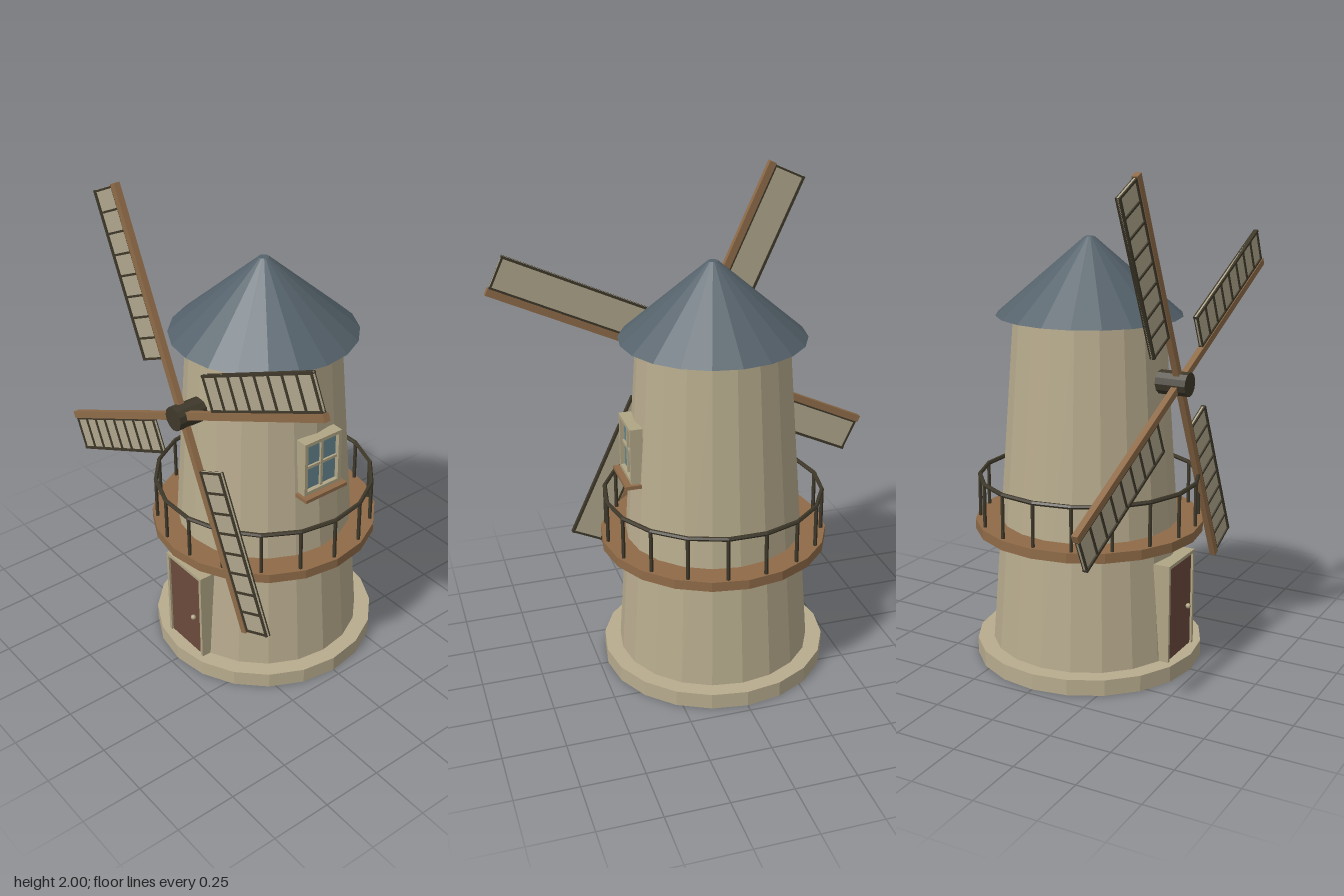
import * as THREE from 'three';

const mat = (name, color, flatShading = false) => {
  const m = new THREE.MeshStandardMaterial({ color });
  m.name = name;
  m.flatShading = flatShading;
  return m;
};

export function createModel() {
  const stone = mat('stone', 0xb8ac8e, true);
  const slate = mat('slate', 0x55626b, true);
  const wood = mat('wood', 0x8f6b48, true);
  const darkWood = mat('darkWood', 0x3e382a, true);
  const doorRed = mat('doorBrown', 0x6b4a3c);
  const glass = mat('glass', 0x64868f);
  const trim = mat('trim', 0xb0a585);
  const canvas = mat('canvas', 0xb0a78c);

  const model = new THREE.Group();
  model.name = 'windmill';

  const add = (parent, name, geometry, material, x = 0, y = 0, z = 0) => {
    const m = new THREE.Mesh(geometry, material);
    m.name = name;
    m.position.set(x, y, z);
    parent.add(m);
    return m;
  };
  // Box given by its minimum and maximum along each axis
  const box = (parent, name, material, [x0, x1], [y0, y1], [z0, z1]) =>
    add(parent, name, new THREE.BoxGeometry(x1 - x0, y1 - y0, z1 - z0), material,
      (x0 + x1) / 2, (y0 + y1) / 2, (z0 + z1) / 2);
  // Upright round part between two heights
  const round = (name, material, rTop, rBottom, y0, y1) =>
    add(model, name, new THREE.CylinderGeometry(rTop, rBottom, y1 - y0, 20), material, 0, (y0 + y1) / 2, 0);
  const group = (name) => {
    const g = new THREE.Group();
    g.name = name;
    model.add(g);
    return g;
  };

  // Body
  round('base', stone, 0.467, 0.467, 0, 0.065);
  round('tower', stone, 0.303, 0.4, 0.065, 1.425);
  round('roof', slate, 0.02, 0.373, 1.42, 1.725);
  round('balconyFloor', wood, 0.467, 0.467, 0.545, 0.585);

  // Balcony railing: a post at every corner of the rail
  const railing = group('railing');
  const posts = 18;
  const rail = add(railing, 'handrail', new THREE.TorusGeometry(0.447, 0.009, 6, posts), darkWood, 0, 0.762, 0);
  rail.rotation.x = Math.PI / 2;
  for (let i = 0; i < posts; i++) {
    const a = (i / posts) * Math.PI * 2;
    add(railing, 'post', new THREE.CylinderGeometry(0.008, 0.008, 0.18, 6), darkWood,
      Math.cos(a) * 0.447, 0.672, Math.sin(a) * 0.447);
  }

  // Door with surround and knob
  const door = group('door');
  box(door, 'doorPanel', doorRed, [-0.104, 0.104], [0.065, 0.457], [0.34, 0.413]);
  for (const s of [-1, 1]) {
    box(door, 'doorJamb', trim, s < 0 ? [-0.118, -0.104] : [0.104, 0.118], [0.065, 0.457], [0.33, 0.422]);
  }
  box(door, 'doorLintel', trim, [-0.118, 0.118], [0.457, 0.471], [0.33, 0.422]);
  add(door, 'doorKnob', new THREE.SphereGeometry(0.011, 10, 8), trim, 0.063, 0.243, 0.424);

  // Window on the left side of the tower
  const win = group('window');
  box(win, 'windowPane', glass, [0.28, 0.348], [0.885, 1.095], [-0.08, 0.08]);
  for (const s of [-1, 1]) {
    box(win, 'windowSide', trim, [0.315, 0.366], [0.87, 1.105], s < 0 ? [-0.092, -0.077] : [0.077, 0.092]);
  }
  box(win, 'windowHead', trim, [0.315, 0.366], [1.09, 1.105], [-0.077, 0.077]);
  box(win, 'windowFoot', trim, [0.315, 0.366], [0.87, 0.885], [-0.077, 0.077]);
  box(win, 'mullion', trim, [0.345, 0.358], [0.885, 1.09], [-0.006, 0.006]);
  box(win, 'crossbar', trim, [0.345, 0.357], [0.982, 0.994], [-0.077, 0.077]);
  box(win, 'windowSill', wood, [0.31, 0.392], [0.855, 0.87], [-0.105, 0.105]);

  // Hub
  const rotor = group('rotor');
  rotor.position.set(0, 1.18, 0.395);
  const hub = add(rotor, 'hub', new THREE.CylinderGeometry(0.049, 0.049, 0.14, 12), darkWood, 0, 0, -0.025);
  hub.rotation.x = Math.PI / 2;

  // Four blades: an arm along local x with a latticed sail beside it
  const u0 = 0.225, u1 = 0.895, v0 = 0.018, v1 = 0.158, t = 0.01, cells = 8;
  for (let i = 0; i < 4; i++) {
    const blade = new THREE.Group();
    blade.name = 'blade';
    blade.rotation.z = THREE.MathUtils.degToRad(25 + 90 * i);
    rotor.add(blade);
    box(blade, 'arm', wood, [0, 0.9], [-0.015, 0.015], [-0.0125, 0.0125]);
    box(blade, 'sailCloth', canvas, [u0, u1], [v0, v1], [-0.004, 0.003]);
    box(blade, 'innerRail', darkWood, [u0, u1], [v0 - 0.003, v0 + 0.005], [-0.009, 0.009]);
    box(blade, 'outerRail', darkWood, [u0, u1], [v1 - t, v1], [-0.01, 0.01]);
    for (let k = 0; k <= cells; k++) {
      const u = u0 + t / 2 + ((u1 - u0 - t) * k) / cells;
      const end = k === 0 || k === cells;
      box(blade, 'rung', darkWood, [u - 0.004, u + 0.004], [v0, v1 - t], [end ? -0.009 : 0, 0.009]);
    }
  }

  return model;
}
